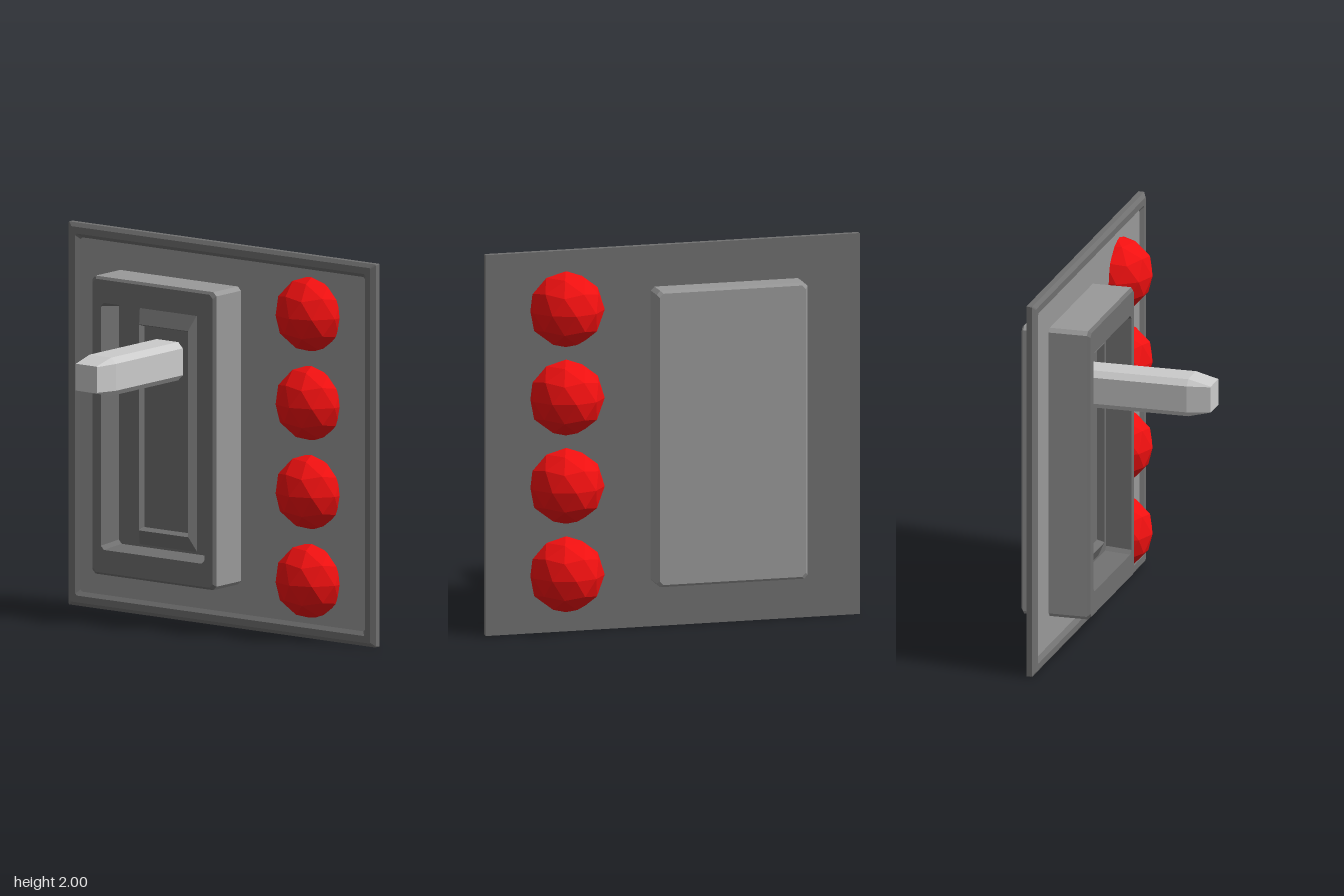
import * as THREE from 'three';

const mat = (color) => new THREE.MeshStandardMaterial({ color, flatShading: true });

// Rectangle with cut corners, counter-clockwise seen from the front
function ring([w, h, c, z]) {
  return [
    [w, -h + c], [w, h - c], [w - c, h], [-w + c, h],
    [-w, h - c], [-w, -h + c], [-w + c, -h], [w - c, -h],
  ].map(([x, y]) => [x, y, z]);
}

// Skin a list of [halfWidth, halfHeight, cornerCut, z] rings, running from back to front
function loft(name, material, x, y, rings, backCap, frontCap) {
  const pos = [];
  const loops = rings.map(ring);
  const tri = (a, b, c) => pos.push(...a, ...b, ...c);
  for (let i = 0; i < loops.length - 1; i++) {
    const a = loops[i], b = loops[i + 1];
    for (let j = 0; j < 8; j++) {
      const k = (j + 1) % 8;
      tri(a[j], a[k], b[k]);
      tri(a[j], b[k], b[j]);
    }
  }
  const first = loops[0], last = loops[loops.length - 1];
  for (let j = 1; j < 7; j++) {
    if (backCap) tri(first[0], first[j + 1], first[j]);
    if (frontCap) tri(last[0], last[j], last[j + 1]);
  }
  const geo = new THREE.BufferGeometry();
  geo.setAttribute('position', new THREE.Float32BufferAttribute(pos, 3));
  geo.computeVertexNormals();
  const mesh = new THREE.Mesh(geo, material);
  mesh.name = name;
  mesh.position.set(x, y, 0);
  return mesh;
}

export function createModel() {
  const group = new THREE.Group();
  group.name = 'leverSwitchPanel';
  const dark = mat(0x707070), mid = mat(0x999999), light = mat(0xcccccc), red = mat(0xf01010);

  // Wall plate: square back, chamfered rim, shallow recessed face
  group.add(loft('plateRim', dark, 0, 1, [
    [1, 1, 0.002, -0.295], [1, 1, 0.005, -0.265], [0.975, 0.98, 0.005, -0.25],
    [0.945, 0.945, 0.01, -0.25], [0.925, 0.925, 0.01, -0.27],
  ], true, false));
  group.add(loft('plateFace', mid, 0, 1, [
    [0.925, 0.925, 0.01, -0.2701], [0.925, 0.925, 0.01, -0.27],
  ], false, true));

  // Switch housing passing through the plate
  const cx = -0.285, cy = 1.005;
  group.add(loft('housing', mid, cx, cy, [
    [0.39, 0.765, 0.02, -0.42], [0.403, 0.778, 0.02, -0.407], [0.403, 0.778, 0.02, -0.065],
  ], true, false));
  group.add(loft('housingFrame', dark, cx, cy, [
    [0.403, 0.778, 0.02, -0.065], [0.39, 0.765, 0.02, -0.05],
    [0.338, 0.645, 0.02, -0.05], [0.322, 0.63, 0.02, -0.18],
  ], false, true));

  // Raised bezel with the slot the lever sits in
  group.add(loft('slotBezel', dark, cx, cy, [
    [0.187, 0.618, 0.002, -0.18], [0.16, 0.538, 0.002, -0.14],
    [0.15, 0.51, 0.002, -0.23],
  ], false, true));

  // Lever with tapered tip
  group.add(loft('lever', light, -0.29, 1.37, [
    [0.1, 0.1, 0.03, -0.26], [0.1, 0.1, 0.03, 0.38], [0.07, 0.07, 0.003, 0.5],
  ], true, true));

  // Column of faceted lamps, each with a vertex at its top
  const lampGeo = new THREE.IcosahedronGeometry(0.2, 1);
  lampGeo.rotateX(-Math.atan((1 + Math.sqrt(5)) / 2));
  lampGeo.rotateY(Math.PI / 2);
  for (let i = 0; i < 4; i++) {
    const lamp = new THREE.Mesh(lampGeo, red);
    lamp.name = `lamp${i + 1}`;
    lamp.position.set(0.57, 0.3 + i * 0.464, -0.292);
    group.add(lamp);
  }
  return group;
}
